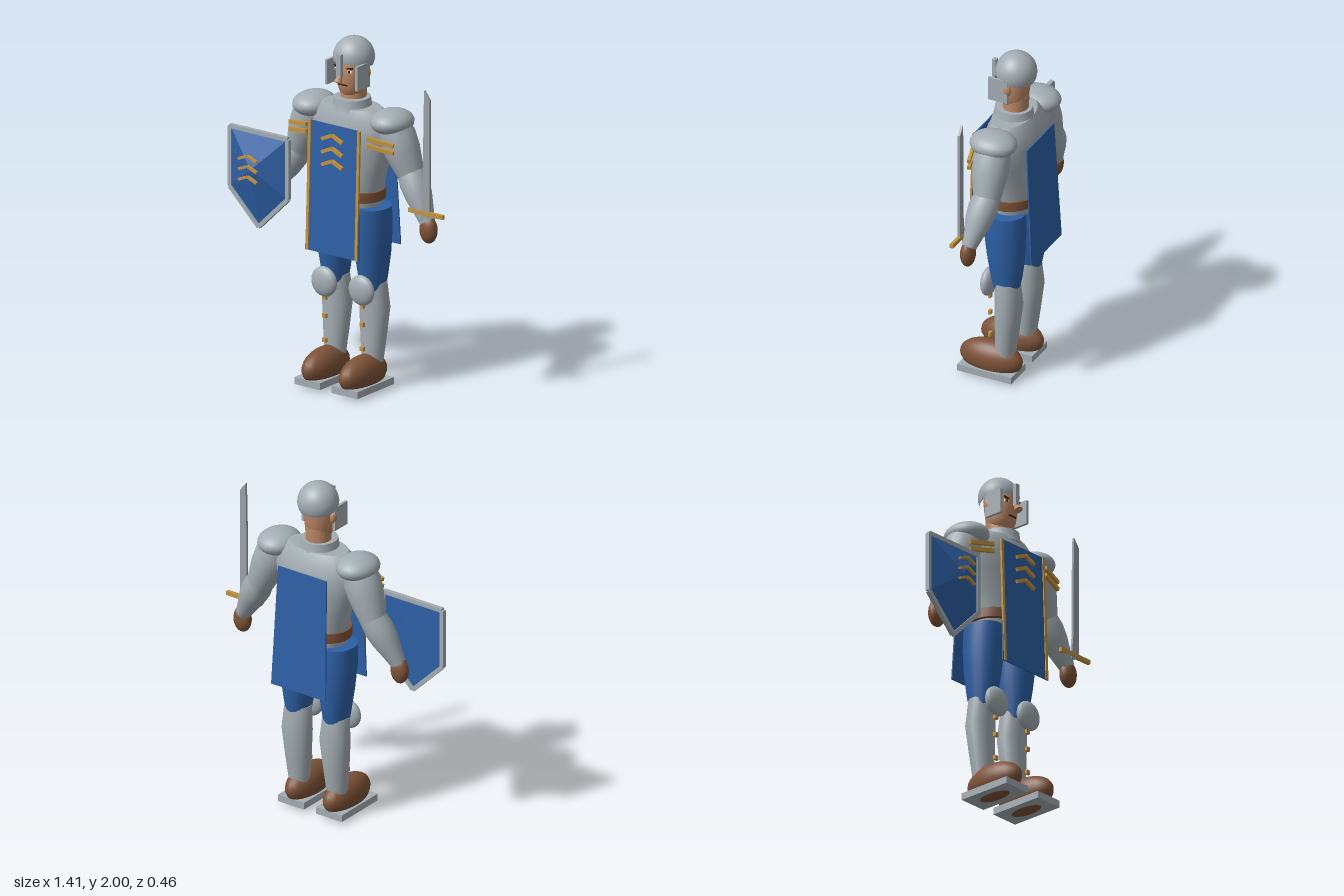
import * as THREE from 'three';

const material = (name, color) => {
  const m = new THREE.MeshStandardMaterial({ color });
  m.name = name;
  return m;
};

// Stack of elliptical rings [y, rx, rz, cz], closed at both ends with sharp rims
function loft(rings, sides = 24) {
  const cap = ([y, , , cz]) => [y, 0, 0, cz];
  const first = rings[0], last = rings[rings.length - 1];
  const all = [cap(first), first, ...rings, last, cap(last)];
  const pos = [], idx = [];
  for (const [y, rx, rz, cz = 0] of all)
    for (let i = 0; i < sides; i++) {
      const a = (i / sides) * Math.PI * 2;
      pos.push(Math.cos(a) * rx, y, cz + Math.sin(a) * rz);
    }
  for (let r = 0; r < all.length - 1; r++) {
    for (let i = 0; i < sides; i++) {
      const a = r * sides + i, b = r * sides + ((i + 1) % sides);
      idx.push(a, a + sides, b, b, a + sides, b + sides);
    }
  }
  const g = new THREE.BufferGeometry();
  g.setAttribute('position', new THREE.Float32BufferAttribute(pos, 3));
  g.setIndex(idx);
  g.computeVertexNormals();
  return g;
}

const box = (x, y, z) => new THREE.BoxGeometry(x, y, z);
const ball = (x, y, z) => new THREE.SphereGeometry(1, 24, 16).scale(x, y, z);

function add(parent, name, geometry, mat, x = 0, y = 0, z = 0) {
  const m = new THREE.Mesh(geometry, mat);
  m.name = name;
  m.position.set(x, y, z);
  parent.add(m);
  return m;
}

// Round limb from a to b, with radii spread evenly along it
function limb(parent, name, mat, a, b, radii) {
  const from = new THREE.Vector3(...a), dir = new THREE.Vector3(...b).sub(from);
  const len = dir.length();
  const rings = radii.map((r, i) => [(i / (radii.length - 1)) * len, r, r]);
  const m = add(parent, name, loft(rings), mat, ...a);
  m.quaternion.setFromUnitVectors(new THREE.Vector3(0, 1, 0), dir.normalize());
  return m;
}

// Straight square bar between two points
function bar(parent, name, mat, a, b, w, d) {
  const p = new THREE.Vector3(...a), q = new THREE.Vector3(...b);
  const m = add(parent, name, box(w, p.distanceTo(q), d), mat);
  m.position.copy(p).add(q).multiplyScalar(0.5);
  m.quaternion.setFromUnitVectors(new THREE.Vector3(0, 1, 0), q.sub(p).normalize());
}

export function createModel() {
  const steel = material('steel', 0xa3adb3);
  const blade = material('blade steel', 0x9aa1a5);
  const blue = material('blue cloth', 0x2d60a6);
  const leather = material('brown leather', 0x7d5237);
  const gold = material('gold', 0xc4943f);
  const skin = material('skin', 0xbd8865);
  const white = material('eye white', 0xe4ddd2);
  const dark = material('dark lines', 0x3a2519);

  const model = new THREE.Group();
  model.name = 'knight';
  const body = new THREE.Group();
  body.name = 'body';
  body.position.x = 0.043;
  model.add(body);

  const chevrons = (parent, x, ys, z, half, rise, w) => {
    for (const y of ys)
      for (const s of [-1, 1])
        bar(parent, 'chevron', gold, [x + s * half, y - rise / 2, z], [x, y + rise / 2, z], w, 0.016);
  };

  // Torso, collar and belt
  add(body, 'breastplate', loft([
    [1.04, 0.165, 0.125, -0.04], [1.14, 0.18, 0.14, -0.04], [1.25, 0.205, 0.143, -0.045],
    [1.38, 0.25, 0.148, -0.045], [1.48, 0.27, 0.145, -0.045], [1.56, 0.25, 0.13, -0.04],
    [1.615, 0.185, 0.105, -0.035],
  ], 32), steel);
  add(body, 'collar', loft([[1.59, 0.115, 0.12, -0.03], [1.62, 0.105, 0.11, -0.03], [1.66, 0.1, 0.105, -0.03]]), steel);
  add(body, 'belt', loft([[1.092, 0.193, 0.155, -0.035], [1.148, 0.193, 0.155, -0.035]], 32), leather);

  // Head
  add(body, 'neck', loft([[1.6, 0.072, 0.072, -0.04], [1.74, 0.072, 0.072, -0.045]]), skin);
  add(body, 'head', loft([
    [1.675, 0.045, 0.05, -0.025], [1.695, 0.068, 0.07, -0.028], [1.73, 0.08, 0.084, -0.03],
    [1.79, 0.088, 0.092, -0.03], [1.86, 0.09, 0.095, -0.035], [1.92, 0.075, 0.08, -0.04],
  ]), skin);
  add(body, 'helmet', new THREE.SphereGeometry(0.115, 28, 16, 0, Math.PI * 2, 0, Math.PI * 0.6)
    .rotateX(-0.16), steel, 0, 1.885, -0.045).material = steel;
  add(body, 'noseGuard', box(0.028, 0.13, 0.022), steel, 0, 1.862, 0.085);
  const nose = add(body, 'nose', new THREE.ConeGeometry(0.024, 0.075, 12), skin, 0, 1.802, 0.083);
  nose.rotation.x = -0.5;
  add(body, 'mouth', box(0.058, 0.008, 0.008), dark, 0, 1.745, 0.055);
  for (const s of [-1, 1]) {
    add(body, 'cheekGuard', box(0.016, 0.14, 0.115), steel, s * 0.104, 1.802, 0.013);
    add(body, 'ear', ball(0.018, 0.037, 0.025), skin, s * 0.097, 1.81, -0.035);
    add(body, 'eye', box(0.03, 0.013, 0.008), white, s * 0.043, 1.826, 0.05);
    add(body, 'pupil', box(0.011, 0.012, 0.008), dark, s * 0.043, 1.826, 0.053);
    add(body, 'eyebrow', box(0.04, 0.008, 0.008), dark, s * 0.044, 1.845, 0.052).rotation.z = s * 0.15;
  }

  // Cloth panels, wider at the hem
  const panel = (name, height, y, z, tilt) => {
    const g = box(0.34, height, 0.008), p = g.attributes.position;
    for (let i = 0; i < p.count; i++) p.setX(i, p.getX(i) * (p.getY(i) > 0 ? 0.96 : 1.08));
    const m = add(body, name, g, blue, 0, y, z);
    m.rotation.x = tilt;
    return m;
  };
  const front = panel('frontTabard', 0.74, 1.16, 0.138, -0.034);
  for (const s of [-1, 1]) add(front, 'tabardTrim', box(0.018, 0.74, 0.012), gold, s * 0.168, 0, 0.004);
  panel('backTabard', 0.71, 1.145, -0.208, 0.05);
  chevrons(body, 0, [1.463, 1.388, 1.315], 0.152, 0.07, 0.032, 0.019);

  for (const s of [-1, 1]) {
    // Arms
    add(body, 'pauldron', ball(0.115, 0.07, 0.135), steel, s * 0.266, 1.565, -0.04);
    limb(body, 'upperArm', steel, [s * 0.395, 1.25, -0.06], [s * 0.265, 1.56, -0.04], [0.07, 0.085, 0.1, 0.105, 0.09]);
    limb(body, 'forearm', steel, [s * 0.525, 1.04, -0.02], [s * 0.375, 1.3, -0.06], [0.043, 0.058, 0.075, 0.083, 0.074]);
    add(body, 'hand', ball(0.055, 0.078, 0.041), leather, s * 0.532, 1.0, -0.018);
    for (const y of [1.478, 1.437]) {
      const band = add(body, 'armBand', box(0.155, 0.022, 0.018), gold, s * 0.282, y, 0.087);
      band.rotation.set(0, s * 0.27, s * -0.16);
    }

    // Legs
    const leg = new THREE.Group();
    leg.name = s > 0 ? 'leftLeg' : 'rightLeg';
    leg.position.x = s * 0.128;
    body.add(leg);
    add(leg, 'thigh', loft([
      [0.58, 0.068, 0.075, -0.05], [0.65, 0.078, 0.09, -0.05], [0.78, 0.096, 0.108, -0.048],
      [0.92, 0.108, 0.118, -0.042], [1.055, 0.106, 0.118, -0.038],
    ]), blue);
    add(leg, 'kneeGuard', ball(0.084, 0.086, 0.038), steel, 0, 0.588, 0.055);
    add(leg, 'shin', loft([
      [0.15, 0.06, 0.055, -0.045], [0.3, 0.076, 0.066, -0.054], [0.47, 0.09, 0.076, -0.065],
      [0.62, 0.077, 0.07, -0.055],
    ]), steel);
    for (const y of [0.495, 0.39, 0.25]) add(leg, 'shinStud', box(0.026, 0.024, 0.016), gold, 0, y, 0.05);
    add(leg, 'boot', ball(0.085, 0.105, 0.188), leather, 0, 0.108, 0.042);
    add(leg, 'sole', box(0.176, 0.04, 0.33), steel, 0, 0.04, 0.043);
  }

  // Shield: five-sided, raised to a point in front
  const shield = new THREE.Group();
  shield.name = 'shield';
  shield.position.set(-0.492, 0, 0);
  model.add(shield);
  const rim = [[0, 0.835], [0.198, 1.03], [0.198, 1.375], [-0.198, 1.375], [-0.198, 1.03]].map(([x, y]) => [x, y, 0.105]);
  const faces = [];
  rim.forEach((p, i) => {
    const q = rim[(i + 1) % rim.length];
    faces.push(...p, ...q, 0, 1.18, 0.187, ...q, ...p, 0, 1.18, 0.1);
    bar(shield, 'shieldRim', steel, p, q, 0.024, 0.024);
  });
  const plate = new THREE.BufferGeometry();
  plate.setAttribute('position', new THREE.Float32BufferAttribute(faces, 3));
  plate.computeVertexNormals();
  add(shield, 'shieldPlate', plate, blue);
  chevrons(shield, 0, [1.255, 1.195, 1.135], 0.21, 0.062, 0.026, 0.014);

  // Sword
  const sword = new THREE.Group();
  sword.name = 'sword';
  model.add(sword);
  const outline = [[0.555, 1.06], [0.615, 1.1], [0.615, 1.76], [0.577, 1.81], [0.572, 1.6], [0.57, 1.22]];
  const edge = new THREE.Shape(outline.map(([x, y]) => new THREE.Vector2(x, y)));
  add(sword, 'blade', new THREE.ExtrudeGeometry(edge, { depth: 0.014, bevelEnabled: false }), blade, 0, 0, 0.011);
  add(sword, 'crossguard', box(0.235, 0.024, 0.02), gold, 0.588, 1.105, 0.018);

  return model;
}
